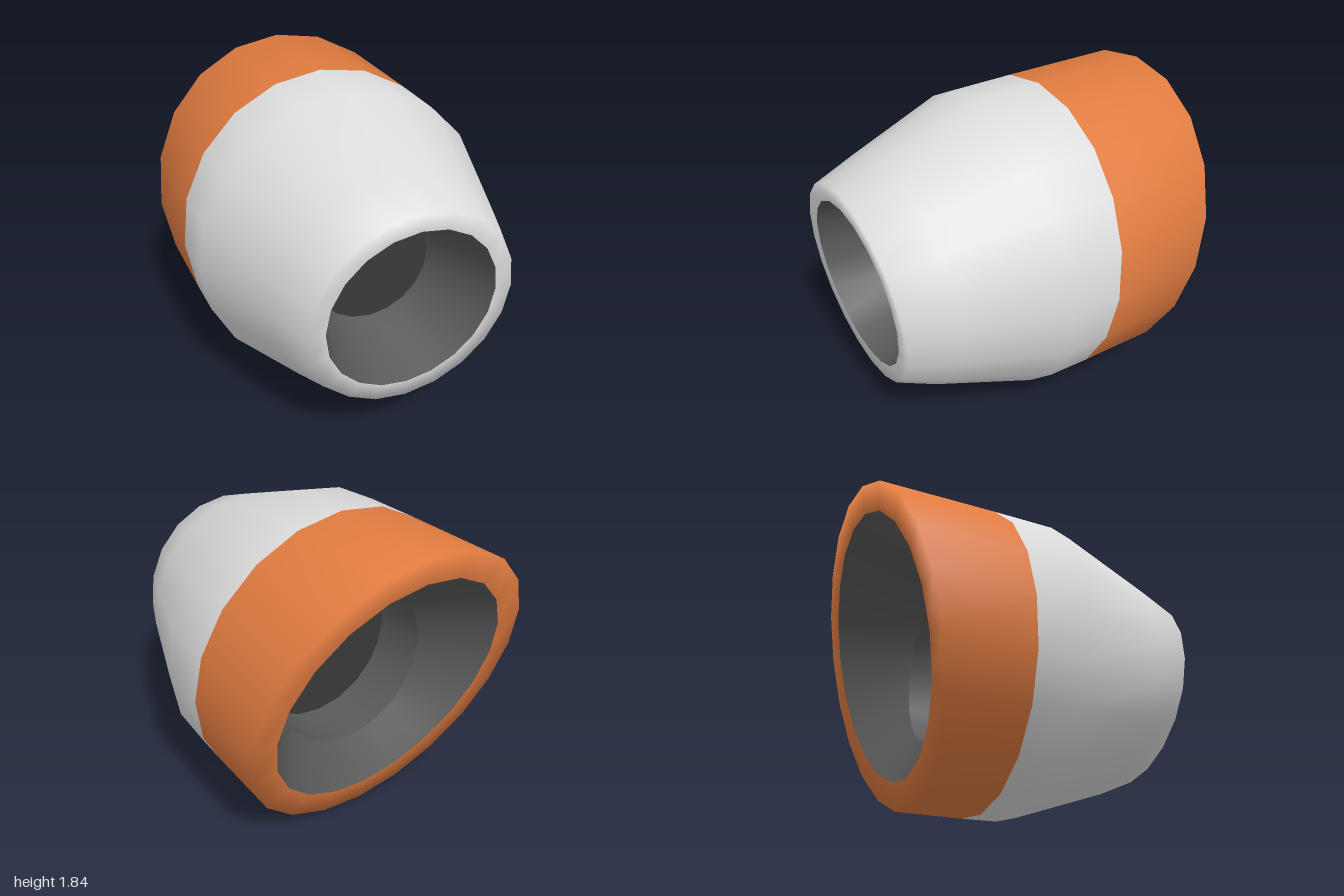
import * as THREE from 'three';

const SIDES = 20;
const CENTRE_Y = 0.92;

// Skin a path of rings [radius, z, tilt]; tilt is how far z shifts per unit of height.
// A group is made per band so that each band can have its own material.
function ringSkin(rings, bandMaterials = []) {
  const positions = [];
  const index = [];
  const geometry = new THREE.BufferGeometry();
  for (const [radius, z, tilt = 0] of rings) {
    for (let j = 0; j < SIDES; j++) {
      const a = (j / SIDES) * Math.PI * 2;
      const dy = radius * Math.cos(a);
      positions.push(radius * Math.sin(a), CENTRE_Y + dy, z + tilt * dy);
    }
  }
  for (let i = 0; i < rings.length - 1; i++) {
    for (let j = 0; j < SIDES; j++) {
      const k = (j + 1) % SIDES;
      const a = i * SIDES + j, b = i * SIDES + k;
      const c = a + SIDES, d = b + SIDES;
      index.push(a, b, c, b, d, c);
    }
    if (bandMaterials.length) geometry.addGroup(i * SIDES * 6, SIDES * 6, bandMaterials[i]);
  }
  geometry.setAttribute('position', new THREE.Float32BufferAttribute(positions, 3));
  geometry.setIndex(index);
  geometry.computeVertexNormals();
  return geometry;
}

export function createModel() {
  const material = (name, color) => {
    const m = new THREE.MeshStandardMaterial({ color });
    m.name = name;
    return m;
  };
  const paleGrey = material('pale grey', 0xdcdcdc);
  const orange = material('orange', 0xe07b40);
  const midGrey = material('mid grey', 0x5a5a5a);
  const darkGrey = material('dark grey', 0x393939);

  const model = new THREE.Group();
  model.name = 'engineNacelle';
  const add = (name, geometry, mat) => {
    const mesh = new THREE.Mesh(geometry, mat);
    mesh.name = name;
    model.add(mesh);
  };

  // Outer shell: front lip, tapered nose, barrel, orange band and slanted rear rim
  add('outerShell', ringSkin([
    [0.5, 0.955, 0.075],
    [0.6, 0.955, 0.075],
    [0.7, 0.71, 0.02],
    [0.91, 0.12, 0],
    [0.916, -0.185, -0.092],
    [0.92, -0.75, -0.27],
    [0.76, -0.75, -0.27],
  ], [0, 0, 0, 0, 1, 1]), [paleGrey, orange]);

  // Front intake: funnel and end plate
  add('intakeWall', ringSkin([[0.36, 0.45], [0.5, 0.955, 0.075]]), midGrey);
  add('intakePlate', ringSkin([[0, 0.45], [0.36, 0.45]]), darkGrey);

  // Rear exhaust: cone, short throat and end plate
  add('exhaustCone', ringSkin([[0.76, -0.75, -0.27], [0.5, -0.4]]), midGrey);
  add('exhaustThroat', ringSkin([[0.5, -0.4], [0.5, -0.07]]), midGrey);
  add('exhaustPlate', ringSkin([[0.5, -0.07], [0, -0.07]]), darkGrey);

  return model;
}
